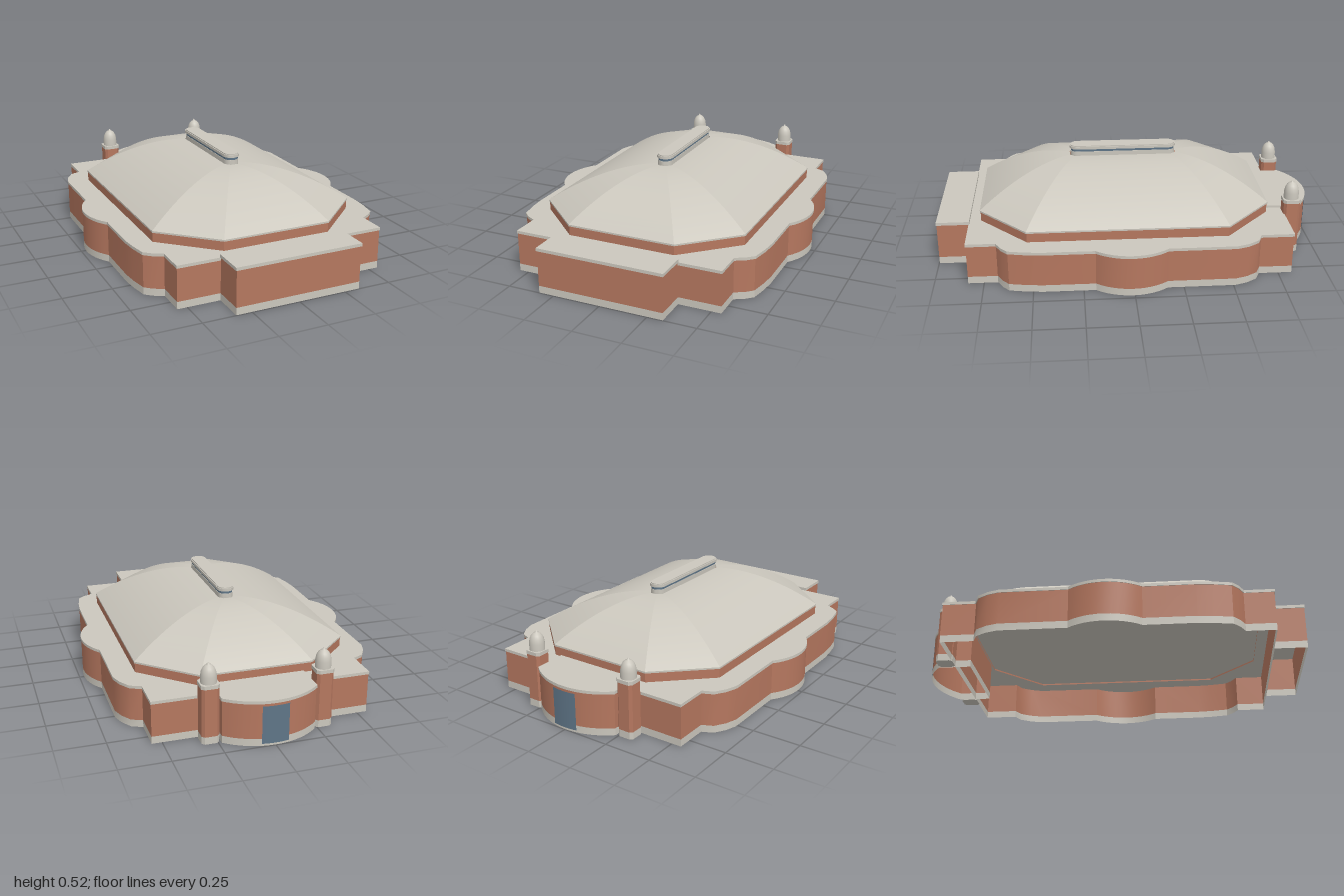
import * as THREE from 'three';
import { toCreasedNormals } from 'three/addons/utils/BufferGeometryUtils.js';

const mat = (name, color) => {
  const m = new THREE.MeshStandardMaterial({ color, side: THREE.DoubleSide });
  m.name = name;
  return m;
};

// Outlines are lists of [x, z], running counter-clockwise seen from above.
const mirrorX = half => [...half, ...half.map(([x, z]) => [-x, z]).reverse()];

function arc(cx, cz, r, from, to, n) {
  return Array.from({ length: n + 1 }, (_, i) => {
    const a = from + (to - from) * i / n;
    return [cx + r * Math.cos(a), cz - r * Math.sin(a)];
  });
}

const grow = (pts, kx, kz = kx, cz = 0) => pts.map(([x, z]) => [x * kx, cz + (z - cz) * kz]);

// Solid slab over an outline
function slab(pts, y0, y1) {
  const shape = new THREE.Shape(pts.map(([x, z]) => new THREE.Vector2(x, -z)));
  const g = new THREE.ExtrudeGeometry(shape, { depth: y1 - y0, bevelEnabled: false });
  g.rotateX(-Math.PI / 2).translate(0, y0, 0);
  return toCreasedNormals(g, 0.6);
}

// Thin wall standing on an outline
function wall(pts, y0, y1, closed = true) {
  const v = [];
  const n = closed ? pts.length : pts.length - 1;
  for (let i = 0; i < n; i++) {
    const [ax, az] = pts[i], [bx, bz] = pts[(i + 1) % pts.length];
    v.push(ax, y0, az, bx, y0, bz, bx, y1, bz, ax, y0, az, bx, y1, bz, ax, y1, az);
  }
  const g = new THREE.BufferGeometry();
  g.setAttribute('position', new THREE.Float32BufferAttribute(v, 3));
  return toCreasedNormals(g, 0.6);
}

// Domed roof: each side is a curved strip from the eave outline to the ridge outline
function domeRoof(outer, inner, y0, y1, steps = 16) {
  const pos = [], idx = [];
  outer.forEach((_, i) => {
    const j = (i + 1) % outer.length, base = pos.length / 3;
    for (let s = 0; s <= steps; s++) {
      const r = 1 - s / steps, y = y0 + (y1 - y0) * (1 - r ** 1.85);
      for (const k of [i, j]) {
        pos.push(inner[k][0] + (outer[k][0] - inner[k][0]) * r, y,
          inner[k][1] + (outer[k][1] - inner[k][1]) * r);
      }
      if (s < steps) {
        const a = base + s * 2;
        idx.push(a, a + 1, a + 3, a, a + 3, a + 2);
      }
    }
  });
  const g = new THREE.BufferGeometry();
  g.setAttribute('position', new THREE.Float32BufferAttribute(pos, 3));
  g.setIndex(idx);
  g.computeVertexNormals();
  return g;
}

export function createModel() {
  const stone = mat('pale stone', 0xcbc7bd);
  const brick = mat('red brick', 0xb5775f);
  const glass = mat('blue glass', 0x5f7587);
  const model = new THREE.Group();
  const add = (name, geo, material, parent = model) => {
    const m = new THREE.Mesh(geo, material);
    m.name = name;
    parent.add(m);
    return m;
  };

  // A block: stone plinth, brick wall, stone roof slab
  function block(name, pts, top, cap, roofPts) {
    const g = new THREE.Group();
    g.name = name;
    model.add(g);
    add('plinth', wall(pts, 0, 0.037), stone, g);
    add('brickWall', wall(pts, 0.037, top - cap), brick, g);
    add('roofSlab', slab(roofPts, top - cap, top), stone, g);
  }

  // Main hall with bowed sides and rounded shoulders
  const bow = arc(0.443, 0.01, 0.282, -0.69, 0.69, 12);
  const hall = mirrorX([
    [0.55, 0.83], [0.55, 0.68], [0.6, 0.652], [0.635, 0.62], [0.652, 0.53], [0.66, 0.45],
    ...bow,
    [0.66, -0.51], [0.64, -0.57], [0.605, -0.625], [0.55, -0.65], [0.55, -0.82],
  ]);
  block('mainHall', hall, 0.22, 0.015, grow(hall, 1.004));

  // Front entrance block
  const porch = mirrorX([[0.33, 0.997], [0.33, 0.832]]);
  block('frontBlock', porch, 0.237, 0.016, grow(porch, 1.012, 1.03, 0.915));

  // Rounded rear apse with a door
  const R = 0.352, cz = -0.645, half = Math.asin(0.235 / R);
  const apse = [[-0.235, -0.74], [0.235, -0.74],
    ...arc(0, cz, R, Math.PI / 2 - half, Math.PI / 2 + half, 18)];
  block('rearApse', apse, 0.232, 0.015, grow(apse, 1.012, 1.012, -0.74));
  add('rearDoor', wall(arc(0, cz, R + 0.003, Math.PI / 2 - 0.19, Math.PI / 2 + 0.19, 6), 0.012, 0.205, false), glass);

  // Upper brick band and domed roof on an eight-sided plan
  const eave = mirrorX([[0.285, 0.775], [0.55, 0.53], [0.55, -0.49], [0.285, -0.735]]);
  const ridge = mirrorX([[0.02, 0.3], [0.042, 0.275], [0.042, -0.245], [0.02, -0.27]]);
  add('upperWall', wall(grow(eave, 0.995, 0.995, 0.02), 0.197, 0.27), brick);
  add('eave', wall(eave, 0.268, 0.277), stone);
  add('domedRoof', domeRoof(eave, ridge, 0.277, 0.47), stone);

  // Long roof lantern with rounded ends
  const stadium = r => [
    ...arc(0, -0.228, r, 0, Math.PI, 12),
    ...arc(0, 0.257, r, Math.PI, 2 * Math.PI, 12),
  ];
  const lantern = new THREE.Group();
  lantern.name = 'roofLantern';
  model.add(lantern);
  add('lanternBase', slab(stadium(0.039), 0.455, 0.492), stone, lantern);
  add('lanternWindows', slab(stadium(0.037), 0.492, 0.506), glass, lantern);
  add('lanternCap', slab(stadium(0.044), 0.506, 0.52), stone, lantern);
  add('lanternTop', slab(stadium(0.039), 0.52, 0.525), stone, lantern);

  // Pair of rear turrets with bullet-shaped tops
  const w = 0.043, c = 0.03;
  const plan = [[w, c], [w, -c], [c, -w], [-c, -w], [-w, -c], [-w, c], [-c, w], [c, w]];
  const bullet = [[0.039, 0.3], [0.039, 0.335], [0.035, 0.358], [0.027, 0.375], [0.016, 0.386],
    [0.006, 0.39], [0.004, 0.397], [0, 0.4]].map(p => new THREE.Vector2(...p));
  for (const side of [-1, 1]) {
    const t = new THREE.Group();
    t.name = side > 0 ? 'leftTurret' : 'rightTurret';
    t.position.set(side * 0.285, 0, -0.86);
    model.add(t);
    add('turretPlinth', slab(plan, 0, 0.037), stone, t);
    add('turretShaft', slab(plan, 0.037, 0.282), brick, t);
    add('turretCornice', slab(grow(plan, 1.06), 0.282, 0.3), stone, t);
    add('turretTop', new THREE.LatheGeometry(bullet, 20), stone, t);
  }

  return model;
}
